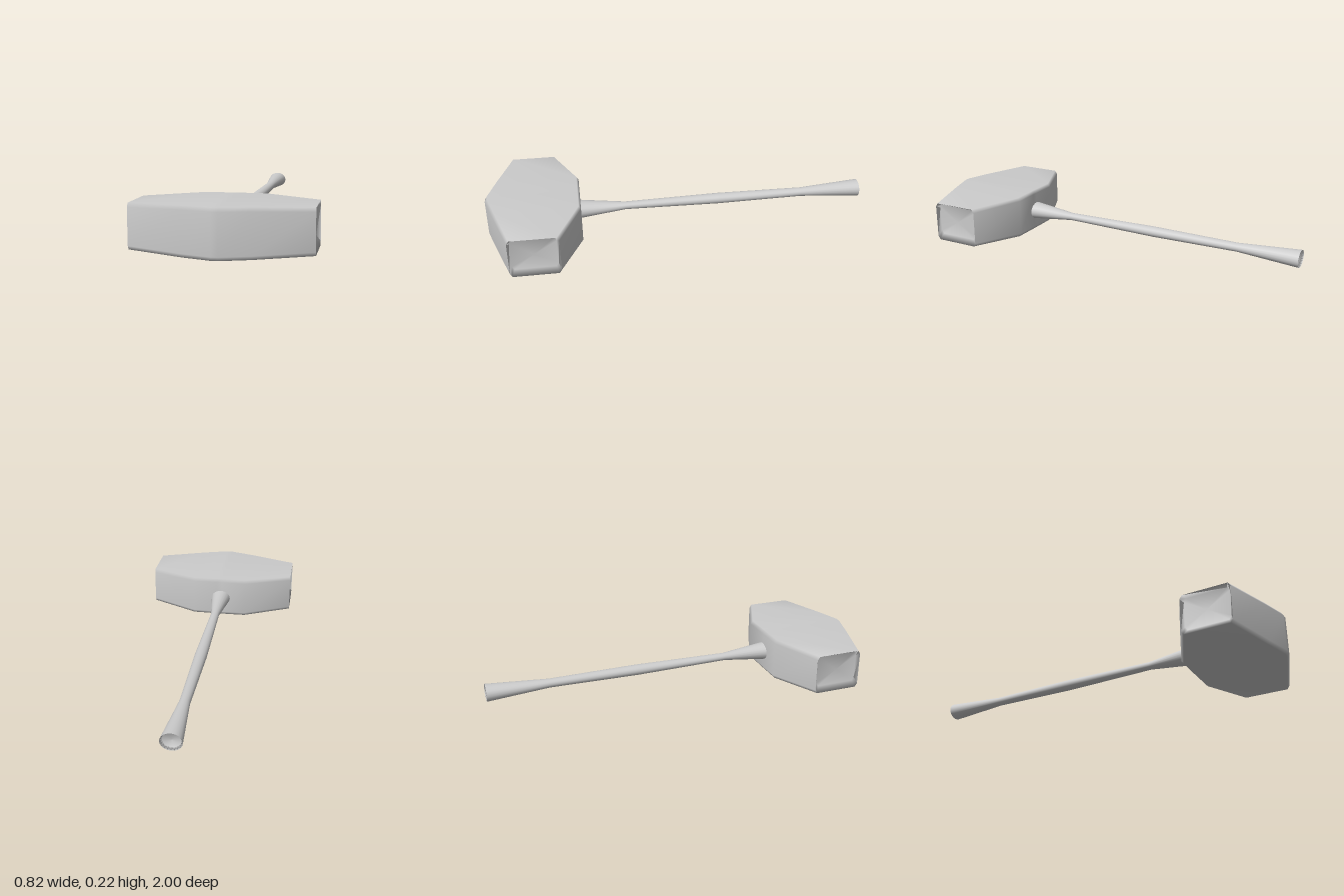
import * as THREE from 'three';

const material = new THREE.MeshStandardMaterial({ color: 0xcccccc });

// Chamfered rectangle in the y/z plane, running top, front, bottom, back
function section([x, back, front, bottom, top, c]) {
  const cy = c * 1.5;
  return [
    [x, top, back + c], [x, top, front - c],
    [x, top - cy, front], [x, bottom + cy, front],
    [x, bottom, front - c], [x, bottom, back + c],
    [x, bottom + cy, back], [x, top - cy, back],
  ];
}

// Skin that joins the sections in order along x
function loft(stations) {
  const n = 8;
  const positions = stations.flatMap(s => section(s)).flat();
  const index = [];
  for (let i = 0; i < stations.length - 1; i++) {
    for (let j = 0; j < n; j++) {
      const k = (j + 1) % n;
      const a = i * n + j, b = a + n, c = i * n + k, d = c + n;
      index.push(a, c, b, b, c, d);
    }
  }
  const geometry = new THREE.BufferGeometry();
  geometry.setAttribute('position', new THREE.Float32BufferAttribute(positions, 3));
  geometry.setIndex(index);
  geometry.computeVertexNormals();
  return geometry;
}

export function createModel() {
  const group = new THREE.Group();

  // Head: half of the stations (x, back, front, bottom, top, chamfer), mirrored
  const half = [
    [0.015, 0.515, 1.0, 0, 0.225, 0.012],
    [0.15, 0.515, 0.96, 0.001, 0.224, 0.012],
    [0.41, 0.63, 0.88, 0.01, 0.217, 0.012],
    // shallow recess in the striking face
    [0.39, 0.643, 0.868, 0.04, 0.205, 0.012],
    [0.39, 0.755, 0.755, 0.12, 0.12, 0],
  ];
  const mirrored = half.map(([x, ...rest]) => [-x, ...rest]).reverse();
  const head = new THREE.Mesh(loft([...mirrored, ...half]), material);
  head.name = 'head';
  group.add(head);

  // Handle: turned shaft, flared at both ends, with a dished butt
  const profile = [
    [0.052, -0.56], [0.049, -0.515], [0.021, -0.28], [0.029, 0.22],
    [0.024, 0.68], [0.047, 1.0], [0.038, 0.985], [0, 0.98],
  ].map(([r, y]) => new THREE.Vector2(r, y));
  const shaft = new THREE.LatheGeometry(profile, 20);
  shaft.rotateX(-Math.PI / 2);
  shaft.scale(1.1, 0.93, 1);
  const handle = new THREE.Mesh(shaft, material);
  handle.name = 'handle';
  handle.position.set(-0.01, 0.108, 0);
  group.add(handle);

  return group;
}
